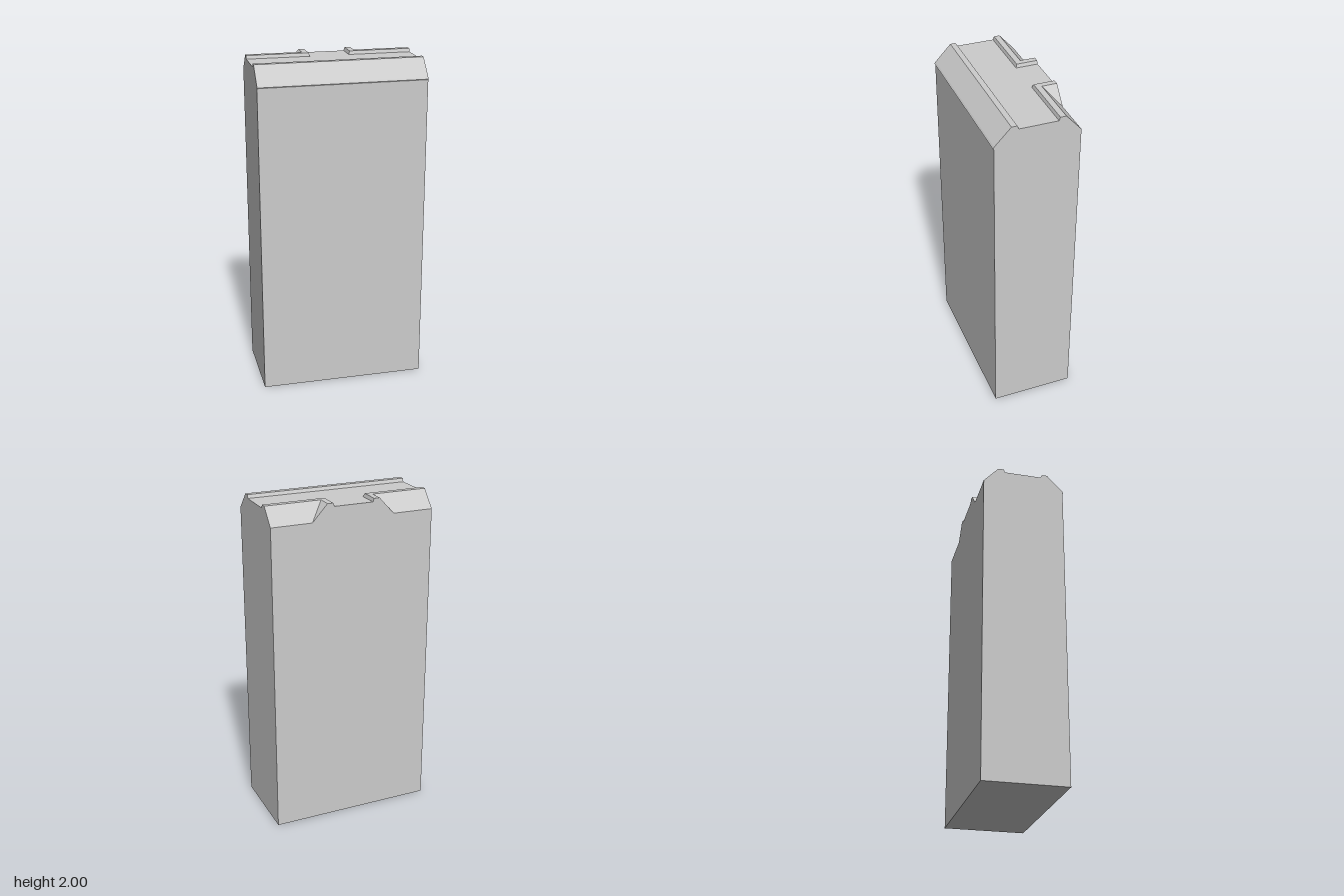
import * as THREE from 'three';

const HALF = 0.5, BACK = -0.252, FLOOR = 1.98;

// Front cross-section as [z, y], from the foot up over the parapet to the walkway
const FRONT = [[0.248, 0], [0.248, 1.882], [0.253, 1.89], [0.246, 1.9], [0.15, 2], [0.117, 2], [0.108, FLOOR]];
// Rear parapet as [inset from the centre lines, y], from the walkway out to the eave
const REAR = [[0.119, FLOOR], [0.126, 2], [0.161, 2], [-BACK, 1.9]];

// Triangulates a planar polygon and turns every triangle towards "out"
function addFace(target, points, out) {
  const pts = points.map((p) => new THREE.Vector3(...p));
  const normal = new THREE.Vector3(...out);
  const size = out.map(Math.abs);
  const drop = size.indexOf(Math.max(...size));
  const flat = points.map((p) => new THREE.Vector2(...p.filter((_, i) => i !== drop)));
  for (const [a, b, c] of THREE.ShapeUtils.triangulateShape(flat, [])) {
    const n = pts[b].clone().sub(pts[a]).cross(pts[c].clone().sub(pts[a]));
    const order = n.dot(normal) < 0 ? [a, c, b] : [a, b, c];
    for (const i of order) target.push(pts[i].x, pts[i].y, pts[i].z);
  }
}

function createPart(name, positions, material) {
  const geometry = new THREE.BufferGeometry();
  geometry.setAttribute('position', new THREE.Float32BufferAttribute(positions, 3));
  geometry.computeVertexNormals();
  const mesh = new THREE.Mesh(geometry, material);
  mesh.name = name;
  return mesh;
}

// Plan line of the L-shaped rear parapet on one side: along the wall, then out to the back
const rearLine = ([inset, y], side) => [
  [side * HALF, y, -inset], [side * inset, y, -inset], [side * inset, y, BACK],
];

export function createModel() {
  const group = new THREE.Group();
  group.name = 'wallSegment';
  const material = new THREE.MeshStandardMaterial({ color: 0xcccccc, flatShading: true });
  const walls = [], walkway = [], frontParapet = [], rearParapet = [];

  // Front wall and parapet, swept straight across
  for (let i = 0; i + 1 < FRONT.length; i++) {
    const [z0, y0] = FRONT[i], [z1, y1] = FRONT[i + 1];
    addFace(i === 0 ? walls : frontParapet,
      [[-HALF, y0, z0], [HALF, y0, z0], [HALF, y1, z1], [-HALF, y1, z1]], [0, z0 - z1, y1 - y0]);
  }

  // Mitred rear parapets beside the opening
  for (const side of [-1, 1]) {
    for (let i = 0; i + 1 < REAR.length; i++) {
      const a = rearLine(REAR[i], side), b = rearLine(REAR[i + 1], side);
      for (let k = 0; k < 2; k++) addFace(rearParapet, [a[k], a[k + 1], b[k + 1], b[k]], [0, 1, 0]);
    }
    // End wall, following the whole cross-section
    const section = [...FRONT, ...REAR.map(([inset, y]) => [-inset, y]), [BACK, 0]];
    addFace(walls, section.map(([z, y]) => [side * HALF, y, z]), [side, 0, 0]);
  }

  // Back wall with the opening and sloped notches in its top edge
  const rim = [...REAR, [HALF, 1.9], [HALF, 0]];
  addFace(walls, [
    ...rim.map(([x, y]) => [x, y, BACK]),
    ...rim.slice().reverse().map(([x, y]) => [-x, y, BACK]),
  ], [0, 0, -1]);

  // Underside
  addFace(walls, [[-HALF, 0, 0.248], [HALF, 0, 0.248], [HALF, 0, BACK], [-HALF, 0, BACK]], [0, -1, 0]);

  // T-shaped walkway
  addFace(walkway, [
    [-HALF, FLOOR, 0.108], [HALF, FLOOR, 0.108],
    ...rearLine(REAR[0], 1), ...rearLine(REAR[0], -1).reverse(),
  ], [0, 1, 0]);

  group.add(
    createPart('walls', walls, material),
    createPart('walkway', walkway, material),
    createPart('frontParapet', frontParapet, material),
    createPart('rearParapets', rearParapet, material),
  );
  return group;
}
